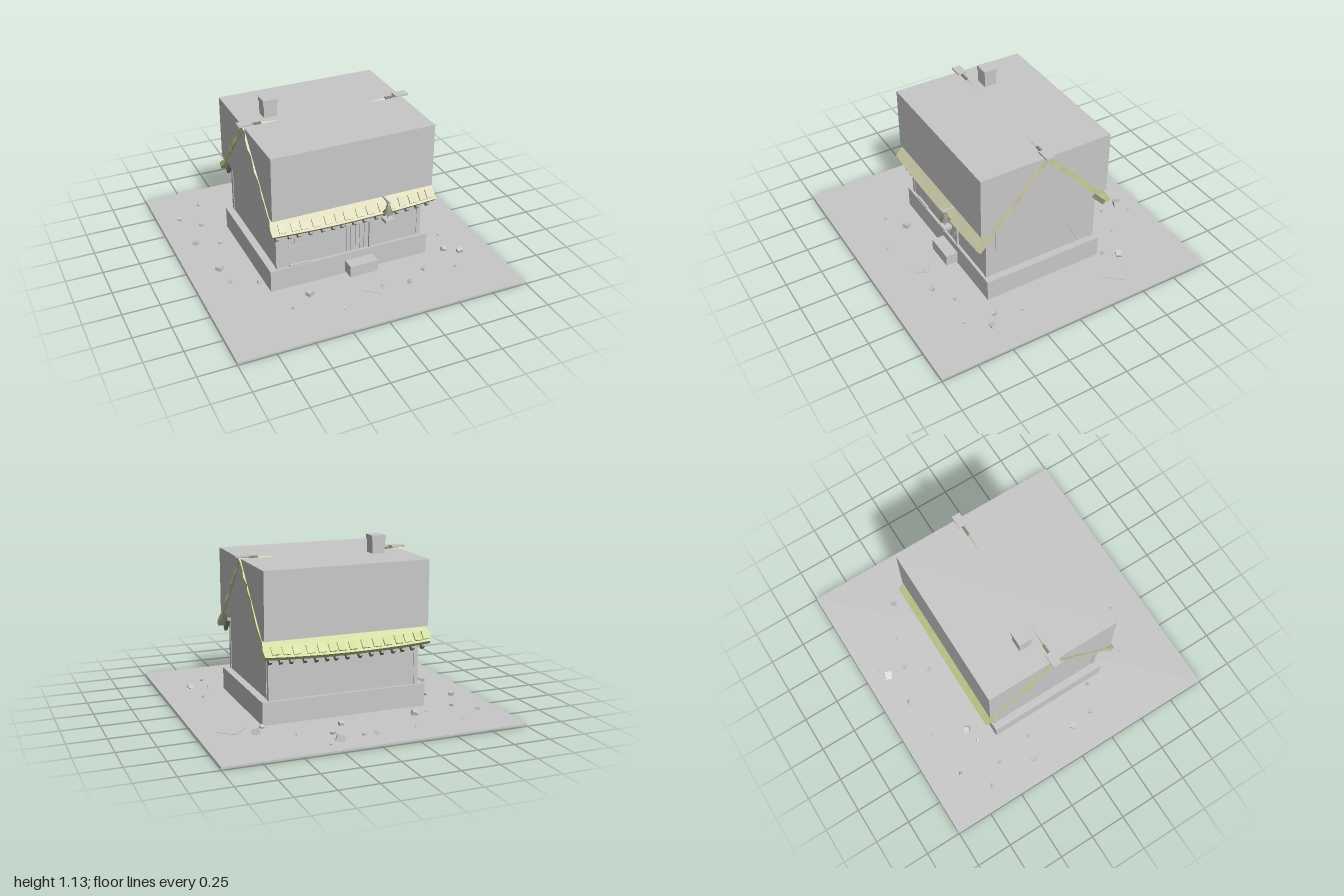
import * as THREE from 'three';

const mat = (name, color) => {
  const m = new THREE.MeshStandardMaterial({ color });
  m.name = name;
  return m;
};

export function createModel() {
  const root = new THREE.Group();
  root.name = 'cottage';
  const grey = mat('plain grey', 0xc8c8c8);
  const straw = mat('front straw', 0xcccaa6);
  const moss = mat('back moss', 0xc5d08e);
  const timber = mat('dark timber', 0x8c8c7c);

  let seed = 7;
  const rnd = () => (seed = (seed * 16807) % 2147483647) / 2147483647;

  const add = (name, geo, material, x = 0, y = 0, z = 0, parent = root) => {
    const m = new THREE.Mesh(geo, material);
    m.name = name;
    m.position.set(x, y, z);
    parent.add(m);
    return m;
  };
  // box given by its limits on each axis
  const box = (name, x0, x1, y0, y1, z0, z1, material = grey, parent = root) =>
    add(name, new THREE.BoxGeometry(x1 - x0, y1 - y0, z1 - z0), material,
      (x0 + x1) / 2, (y0 + y1) / 2, (z0 + z1) / 2, parent);

  // main masses
  box('ground', -1, 1, 0.008, 0.018, -1, 1);
  box('foundation', -0.565, 0.565, 0, 0.17, -0.43, 0.43);
  box('walls', -0.515, 0.515, 0.17, 0.57, -0.41, 0.41);
  box('upperBlock', -0.56, 0.56, 0.57, 1.01, -0.47, 0.47);

  // chimney
  box('chimney', -0.395, -0.305, 1.01, 1.1, -0.145, -0.06);
  box('chimneyCap', -0.4, -0.3, 1.1, 1.13, -0.15, -0.055);

  // sagging roof slopes whose edges show around the block
  const slopeY = (t, x) => 1.025 - 0.545 * t - 0.02 * (1 - (x / 0.575) ** 2);
  const roofSlope = (name, material, turn) => {
    const rows = 14;
    const geo = new THREE.BoxGeometry(1.14, 1, 1, 24, 1, rows);
    const ragged = Array.from({ length: 2 * rows + 2 }, () => (rnd() - 0.5) * 0.02);
    const p = geo.attributes.position;
    for (let i = 0; i < p.count; i++) {
      let x = p.getX(i);
      const t = p.getZ(i) + 0.5;
      const depth = (0.5 - p.getY(i)) * 0.03;
      if (Math.abs(x) > 0.569) {
        const row = Math.round(t * rows);
        x += ragged[row + (x > 0 ? rows + 1 : 0)];
      }
      p.setXYZ(i, x, slopeY(t, x) - depth * 0.74, 0.505 * t - depth * 0.68);
    }
    geo.computeVertexNormals();
    const slope = new THREE.Group();
    slope.name = name;
    slope.rotation.y = turn;
    root.add(slope);
    add('roofPanel', geo, material, 0, 0, 0, slope);

    // rafter tails under the eave and ragged shingles along it
    for (let i = 0; i < 15; i++) {
      const x = -0.53 + i * 0.0757 + (rnd() - 0.5) * 0.02;
      const tail = add('rafterTail', new THREE.BoxGeometry(0.02, 0.03, 0.12), timber,
        x, slopeY(0.92, x) - 0.045, 0.44, slope);
      tail.rotation.x = 0.82;
      const sx = x + 0.035;
      const shingle = add('eaveShingle', new THREE.BoxGeometry(0.05, 0.014, 0.06), material,
        Math.min(sx, 0.54), slopeY(0.94, sx) + 0.002, 0.475, slope);
      shingle.rotation.x = 0.82 + (rnd() - 0.5) * 0.1;
    }
  };
  roofSlope('frontRoof', straw, 0);
  roofSlope('backRoof', moss, Math.PI);

  // ridge ornaments at both gables
  for (const s of [-1, 1]) {
    const ridge = new THREE.Group();
    ridge.name = 'ridgeEnd';
    ridge.rotation.y = s > 0 ? 0 : Math.PI;
    root.add(ridge);
    box('ridgePlate', 0.505, 0.6, 1.02, 1.032, -0.03, 0.03, grey, ridge);
    box('ridgePole', 0.44, 0.58, 1.008, 1.022, -0.008, 0.008, timber, ridge);
  }

  // corner posts
  for (const sx of [-1, 1]) for (const sz of [-1, 1]) {
    box('cornerPost', sx * 0.505 - 0.014, sx * 0.505 + 0.014, 0.17, 0.53,
      sz * 0.4 - 0.014, sz * 0.4 + 0.014);
  }

  // door made of planks, with a taller jamb
  for (let i = 0; i < 5; i++) {
    box('doorPlank', -0.027 + i * 0.032, 0.002 + i * 0.032, 0.175, 0.37, 0.41, 0.418);
  }
  box('doorLintel', -0.035, 0.14, 0.37, 0.385, 0.41, 0.424);
  box('doorJamb', 0.135, 0.147, 0.17, 0.46, 0.41, 0.424);

  // windows and trim boards on the front
  for (const x of [-0.33, 0.34]) {
    box('window', x - 0.06, x + 0.06, 0.335, 0.45, 0.41, 0.417);
  }
  box('trimBoard', -0.43, -0.3, 0.308, 0.317, 0.41, 0.417);
  box('trimBoard', -0.43, -0.29, 0.17, 0.18, 0.41, 0.425);

  // broken plaster layer on the left wall
  const patch = new THREE.Shape([
    [-0.345, 0.57], [-0.345, 0.385], [0.02, 0.337], [0.21, 0.337],
    [0.29, 0.18], [0.385, 0.18], [0.385, 0.57],
  ].map(([u, v]) => new THREE.Vector2(u, v)));
  const plaster = add('plasterPatch',
    new THREE.ExtrudeGeometry(patch, { depth: 0.009, bevelEnabled: false }), grey, 0.514, 0, 0);
  plaster.rotation.y = Math.PI / 2;

  // doorstep
  box('doorstep', -0.04, 0.16, 0.035, 0.115, 0.43, 0.515);

  // hanging bell lamp on a bracket
  const lamp = new THREE.Group();
  lamp.name = 'bellLamp';
  lamp.position.set(0.21, 0, 0.535);
  root.add(lamp);
  box('lampBracket', -0.006, 0.006, 0.558, 0.568, -0.12, 0.02, grey, lamp);
  box('lampHanger', -0.004, 0.004, 0.53, 0.56, -0.004, 0.004, grey, lamp);
  const bell = [[0, 0.54], [0.014, 0.535], [0.02, 0.505], [0.035, 0.485], [0.03, 0.48], [0, 0.48]]
    .map(([r, y]) => new THREE.Vector2(r, y)).reverse();
  add('lampBell', new THREE.LatheGeometry(bell, 10), timber, 0, 0, 0, lamp);
  box('lampBase', -0.03, 0.03, 0.42, 0.443, -0.03, 0.03, grey, lamp);
  box('lampStem', -0.005, 0.005, 0.443, 0.48, -0.005, 0.005, grey, lamp);

  // thin slabs lying on the ground
  for (const [x, z, w, d, a] of [[0.06, 0.655, 0.13, 0.11, -0.65], [0.77, -0.43, 0.13, 0.14, -0.75]]) {
    add('groundSlab', new THREE.BoxGeometry(w, 0.004, d), grey, x, 0.02, z).rotation.y = a;
  }

  // scattered stones: x, z, size
  const stones = [
    [0.21, -0.85, 0.055], [-0.04, -0.82, 0.028], [0.04, -0.81, 0.02], [0.29, -0.89, 0.015],
    [0.21, -0.72, 0.028], [0.1, -0.59, 0.032], [-0.42, -0.58, 0.04], [-0.52, -0.56, 0.015],
    [-0.66, -0.78, 0.022], [-0.85, -0.64, 0.026], [-0.73, -0.51, 0.024], [-0.84, -0.3, 0.034],
    [-0.68, -0.24, 0.022], [-0.79, 0.06, 0.042], [-0.77, 0.22, 0.034], [-0.6, 0.31, 0.028],
    [0.65, -0.55, 0.045], [0.58, -0.46, 0.026], [0.42, -0.66, 0.014], [-0.32, -0.8, 0.014],
    [-0.35, 0.56, 0.045], [-0.5, 0.65, 0.016], [-0.21, 0.78, 0.016], [0.11, 0.67, 0.022],
    [0.3, 0.7, 0.028], [0.45, 0.61, 0.022], [0.66, 0.66, 0.02], [0.69, 0.46, 0.036],
    [0.78, 0.52, 0.036], [0.75, 0.28, 0.018],
  ];
  for (const [x, z, s] of stones) {
    const stone = add('stone', new THREE.BoxGeometry(s, s * 0.75, s * 0.85), grey, x, 0.016 + s * 0.35, z);
    stone.rotation.set((rnd() - 0.5) * 0.7, rnd() * 3, (rnd() - 0.5) * 0.7);
  }

  return root;
}
